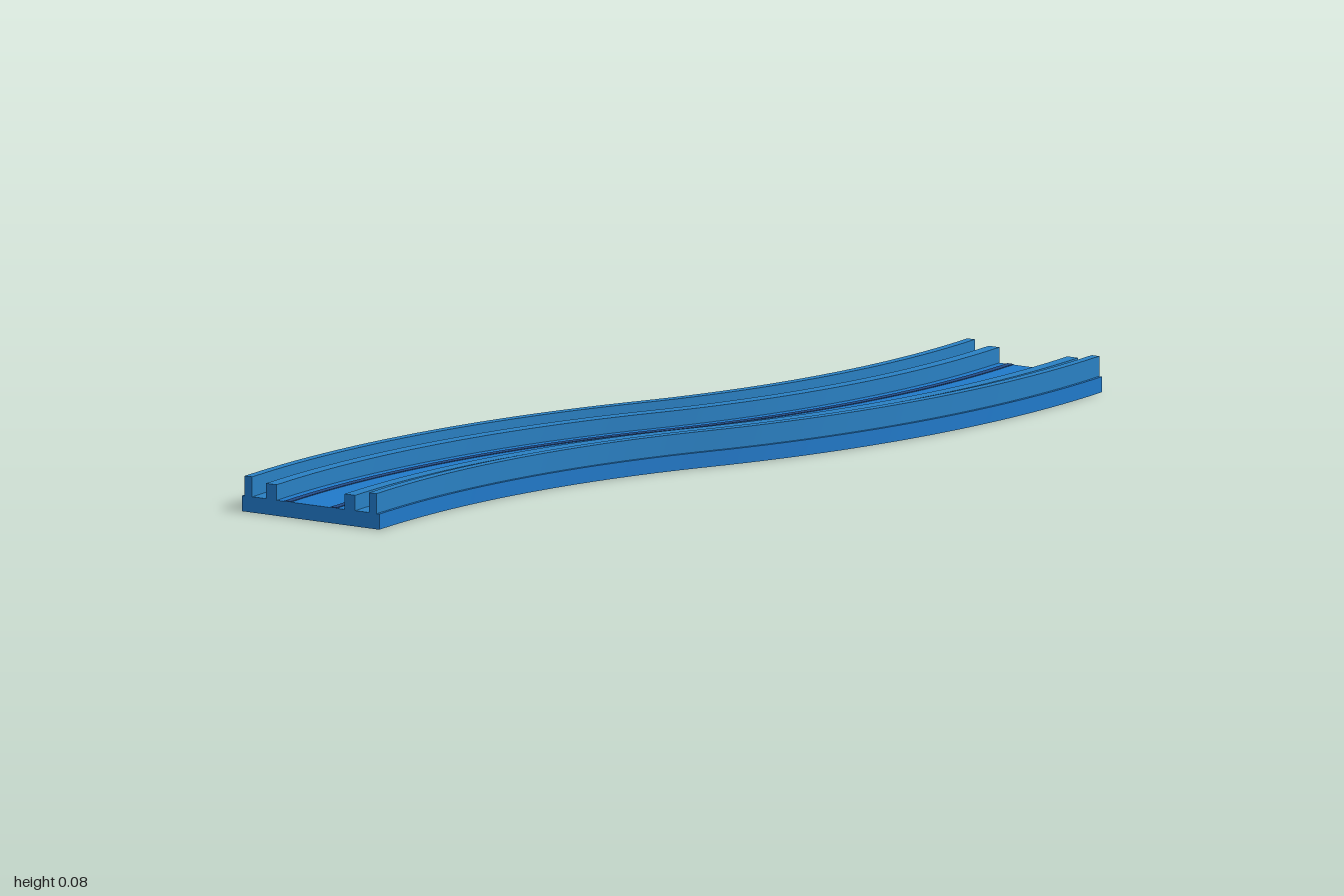
import * as THREE from 'three';

// The centre line is two mirrored arcs, running from x = -END_X at the front to x = END_X at the back.
const END_X = 0.279;
const RADIUS = (1 + END_X * END_X) / (2 * END_X);
const ANGLE = Math.asin(1 / RADIUS);

// Maps a point of a straight track (sideways offset x, position z) onto the S-curve.
function bend(x, z) {
  const s = z < 0 ? -1 : 1;
  const phi = (1 - Math.abs(z)) * ANGLE;
  const r = RADIUS - s * x;
  return [s * (RADIUS - END_X - r * Math.cos(phi)), s * (1 - r * Math.sin(phi))];
}

// A strip of rectangular section that follows the curve.
function strip(name, x0, x1, y0, y1, side, cap) {
  const geo = new THREE.BoxGeometry(x1 - x0, y1 - y0, 2, 1, 1, 48);
  geo.translate((x0 + x1) / 2, (y0 + y1) / 2, 0);
  const p = geo.attributes.position;
  for (let i = 0; i < p.count; i++) {
    const [x, z] = bend(p.getX(i), p.getZ(i));
    p.setX(i, x);
    p.setZ(i, z);
  }
  geo.computeVertexNormals();
  const mesh = new THREE.Mesh(geo, [side, side, side, side, cap, cap]);
  mesh.name = name;
  return mesh;
}

export function createModel() {
  const group = new THREE.Group();
  group.name = 'curvedTrack';
  const mat = (name, color) => {
    const m = new THREE.MeshStandardMaterial({ color });
    m.name = name;
    return m;
  };
  const blue = mat('track blue', 0x2079c9);
  const railBlue = mat('rail blue', 0x2980c3);
  const navy = mat('stripe navy', 0x224b87);

  // Flat bed
  group.add(strip('bed', -0.174, 0.174, 0, 0.034, blue, blue));

  // Mirrored rails and painted stripes
  const pair = (name, a, b, y0, y1, side, cap) => {
    group.add(strip(name + 'Left', a, b, y0, y1, side, cap));
    group.add(strip(name + 'Right', -b, -a, y0, y1, side, cap));
  };
  pair('outerRail', 0.148, 0.167, 0.034, 0.078, railBlue, blue);
  pair('innerRail', 0.086, 0.113, 0.034, 0.068, railBlue, blue);
  pair('ledge', 0.113, 0.148, 0.034, 0.0345, railBlue, blue);
  pair('stripe', 0.05, 0.066, 0.034, 0.0355, navy, navy);
  return group;
}
